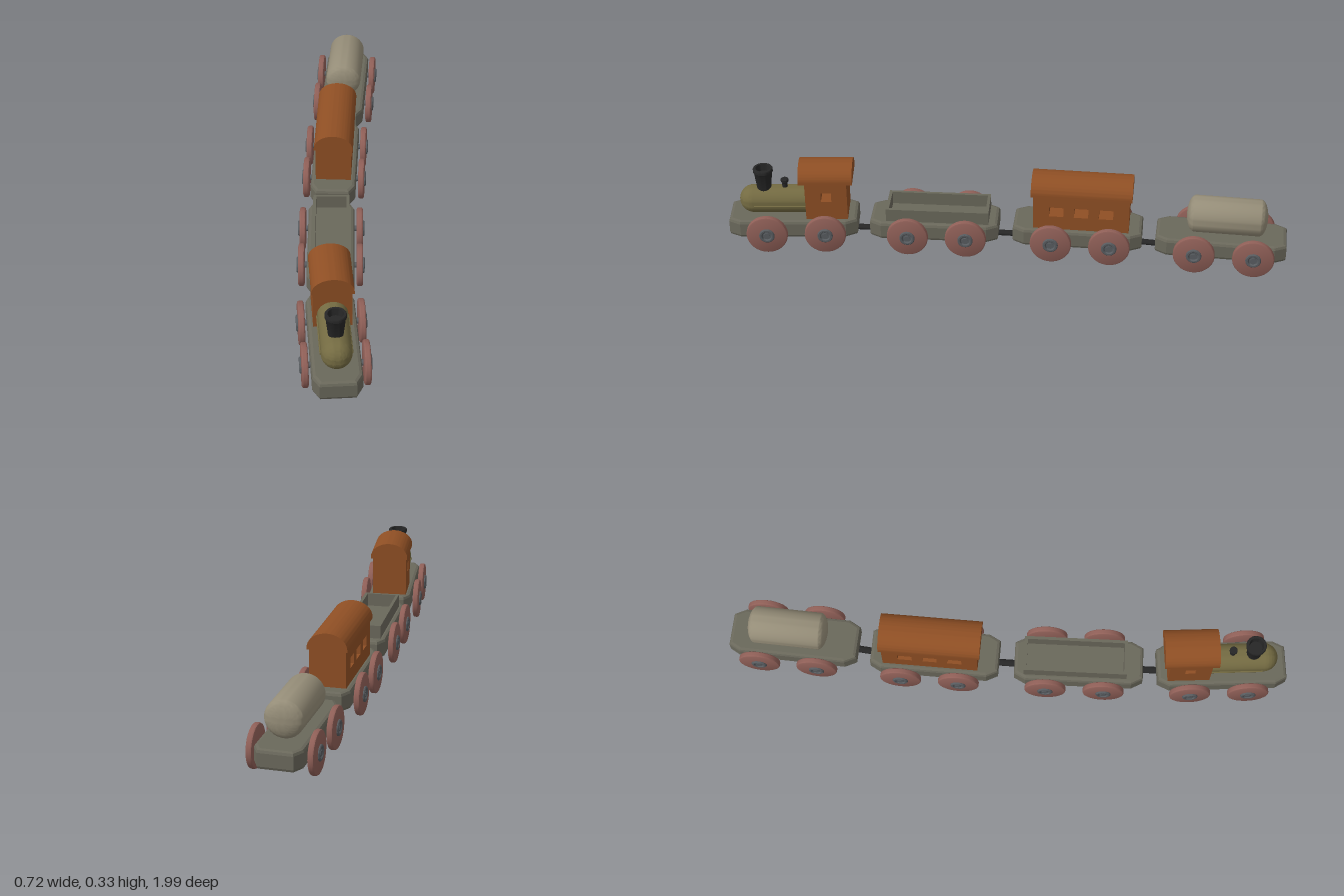
import * as THREE from 'three';
import { toCreasedNormals } from 'three/addons/utils/BufferGeometryUtils.js';

const paint = (color) => new THREE.MeshStandardMaterial({ color, side: THREE.DoubleSide });
const MAT = {
  chassis: paint(0x6a685b), wheel: paint(0x8f5f57), hub: paint(0x585c60), wood: paint(0x8f4f24),
  boiler: paint(0x746b42), tank: paint(0x958d78), black: paint(0x262626),
};
const BODY_Z = -0.013; // bodies and axles sit slightly behind the chassis centre

function add(parent, name, geometry, material, x = 0, y = 0, z = 0) {
  const mesh = new THREE.Mesh(geometry, material);
  mesh.name = name;
  mesh.position.set(x, y, z);
  parent.add(mesh);
  return mesh;
}

const vec = (pairs) => pairs.map(([a, b]) => new THREE.Vector2(a, b));
const lathe = (pairs, seg = 40) => toCreasedNormals(new THREE.LatheGeometry(vec(pairs), seg), 0.6);

// Chassis block: plan with tapered ends, bevelled top and bottom
function chassisGeometry() {
  const b = 0.012;
  const shape = new THREE.Shape(vec([
    [-0.0825 + b, -0.19], [-0.065 + b, -0.235 + b], [0.065 - b, -0.235 + b], [0.0825 - b, -0.19],
    [0.0825 - b, 0.19], [0.065 - b, 0.235 - b], [-0.065 + b, 0.235 - b], [-0.0825 + b, 0.19],
  ]));
  const g = new THREE.ExtrudeGeometry(shape, {
    depth: 0.07 - 2 * b, bevelEnabled: true, bevelSize: b, bevelThickness: b, bevelSegments: 2,
  });
  return g.rotateX(-Math.PI / 2).translate(0, 0.045 + b, 0);
}

// Wheel and hub profiles, turned around the axle
const wheelGeometry = lathe([
  [0, -0.011], [0.069, -0.011], [0.073, -0.009], [0.075, -0.005],
  [0.075, 0.005], [0.073, 0.009], [0.069, 0.011], [0, 0.011],
]).rotateZ(-Math.PI / 2);
const hubGeometry = lathe([
  [0.028, 0.009], [0.028, 0.014], [0.025, 0.017], [0.019, 0.017], [0.015, 0.0125],
  [0.011, 0.0125], [0.011, 0.016], [0, 0.016],
], 28).rotateZ(-Math.PI / 2);

function createCar(name, x, z, degrees) {
  const car = new THREE.Group();
  car.name = name;
  car.position.set(x, 0, z);
  car.rotation.y = THREE.MathUtils.degToRad(degrees);
  add(car, 'chassis', chassisGeometry(), MAT.chassis);
  for (const dz of [-0.106, 0.106]) {
    const axle = new THREE.CylinderGeometry(0.01, 0.01, 0.2, 16).rotateZ(Math.PI / 2);
    add(car, 'axle', axle, MAT.hub, 0, 0.075, BODY_Z + dz);
    for (const side of [-1, 1]) {
      const wheel = new THREE.Group();
      wheel.name = side > 0 ? 'leftWheel' : 'rightWheel';
      wheel.position.set(side * 0.102, 0.075, BODY_Z + dz);
      if (side < 0) wheel.rotation.y = Math.PI;
      add(wheel, 'wheelDisc', wheelGeometry, MAT.wheel);
      add(wheel, 'hub', hubGeometry, MAT.hub);
      car.add(wheel);
    }
  }
  return car;
}

// Cabin: side outline with window openings, extruded across the width
function cabin(car, name, z, length, top, windows, win) {
  const width = 0.13, h = length / 2;
  const shape = new THREE.Shape(vec([[-h, 0.112], [h, 0.112], [h, top], [-h, top]]));
  for (const c of windows) {
    const a = win.width / 2;
    shape.holes.push(new THREE.Path(vec([
      [c - a, win.bottom], [c - a, win.top], [c + a, win.top], [c + a, win.bottom],
    ])));
  }
  const g = new THREE.ExtrudeGeometry(shape, { depth: width, bevelEnabled: false });
  add(car, name, g.translate(0, 0, -width / 2).rotateY(-Math.PI / 2), MAT.wood, 0, 0, z);
}

// Arched roof with a short upright eave
function roof(car, z, length, eave, height) {
  const r = 0.071, lip = 0.008;
  const shape = new THREE.Shape();
  shape.moveTo(-r, 0);
  shape.lineTo(r, 0);
  shape.lineTo(r, lip);
  shape.absellipse(0, lip, r, height - lip, 0, Math.PI, false);
  shape.closePath();
  const g = new THREE.ExtrudeGeometry(shape, { depth: length, bevelEnabled: false, curveSegments: 28 });
  add(car, 'roof', toCreasedNormals(g.translate(0, 0, -length / 2), 0.5), MAT.wood, 0, eave, z);
}

function createEngine() {
  const car = createCar('engine', 0.2, 0.757, 20.5);
  cabin(car, 'cab', -0.125, 0.152, 0.27, [0], { width: 0.038, bottom: 0.19, top: 0.227 });
  roof(car, -0.125, 0.195, 0.265, 0.061);

  // Boiler with round nose
  const profile = [[0, -0.06], [0.0515, -0.06], [0.0515, 0.145]];
  for (let i = 1; i <= 14; i++) {
    const a = (i / 14) * Math.PI / 2;
    profile.push([0.0515 * Math.cos(a), 0.145 + 0.0515 * Math.sin(a)]);
  }
  add(car, 'boiler', lathe(profile).rotateX(Math.PI / 2), MAT.boiler, 0, 0.166, 0);
  for (const side of [-1, 1]) {
    const rail = new THREE.CylinderGeometry(0.004, 0.004, 0.19, 10).rotateX(Math.PI / 2);
    add(car, 'boilerRail', rail, MAT.boiler, side * 0.051, 0.16, 0.045);
  }

  // Flared chimney with hollow top, and small steam stack
  add(car, 'chimney', lathe([
    [0, 0.2], [0.024, 0.2], [0.033, 0.279], [0.036, 0.283], [0.036, 0.293], [0.034, 0.296],
    [0.026, 0.296], [0.023, 0.27], [0, 0.27],
  ], 32), MAT.black, 0, 0, 0.105);
  add(car, 'steamStack', lathe([
    [0, 0.2], [0.01, 0.2], [0.01, 0.235], [0.014, 0.239], [0.014, 0.248], [0.012, 0.25], [0, 0.25],
  ], 24), MAT.black, 0, 0, 0.029);
  return car;
}

function createOpenWagon() {
  const car = createCar('openWagon', 0.041, 0.262, 16.2);
  const w = 0.131, l = 0.375, t = 0.011, h = 0.054;
  for (const s of [-1, 1]) {
    add(car, 'sideWall', new THREE.BoxGeometry(t, h, l), MAT.chassis, s * (w - t) / 2, 0.137, BODY_Z);
    add(car, 'endWall', new THREE.BoxGeometry(w - 2 * t, h, t), MAT.chassis, 0, 0.137, BODY_Z + s * (l - t) / 2);
  }
  return car;
}

function createCoach() {
  const car = createCar('coach', -0.095, -0.246, 14);
  cabin(car, 'coachBody', BODY_Z, 0.347, 0.253, [-0.09, 0, 0.09], { width: 0.052, bottom: 0.168, top: 0.206 });
  roof(car, BODY_Z, 0.365, 0.248, 0.063);
  return car;
}

function createTankWagon() {
  const car = createCar('tankWagon', -0.207, -0.754, 12.5);
  // Tank with shallow domed ends
  const r = 0.067, straight = 0.115, dome = 0.03, profile = [], n = 12;
  for (let i = 0; i <= n; i++) {
    const a = (i / n) * Math.PI / 2;
    profile.push([r * Math.sin(a), -straight - dome * Math.cos(a)]);
  }
  for (let i = n; i >= 0; i--) profile.push([profile[i][0], -profile[i][1]]);
  add(car, 'tank', lathe(profile, 48).rotateX(Math.PI / 2), MAT.tank, 0, 0.185, BODY_Z - 0.004);
  return car;
}

export function createModel() {
  const train = new THREE.Group();
  train.name = 'toyTrain';
  const cars = [createEngine(), createOpenWagon(), createCoach(), createTankWagon()];
  train.add(...cars);

  // Coupling bars with round ends between neighbouring cars
  for (let i = 0; i < cars.length - 1; i++) {
    const end = (car, dz) => new THREE.Vector3(0, 0.041, dz)
      .applyAxisAngle(new THREE.Vector3(0, 1, 0), car.rotation.y).add(car.position);
    const a = end(cars[i], -0.2), b = end(cars[i + 1], 0.2);
    const bar = new THREE.CapsuleGeometry(0.013, a.distanceTo(b) - 0.01, 6, 16)
      .rotateX(Math.PI / 2).scale(1, 0.7, 1);
    const mesh = add(train, 'coupling', bar, MAT.black);
    mesh.position.addVectors(a, b).multiplyScalar(0.5);
    mesh.rotation.y = Math.atan2(a.x - b.x, a.z - b.z);
  }
  return train;
}
